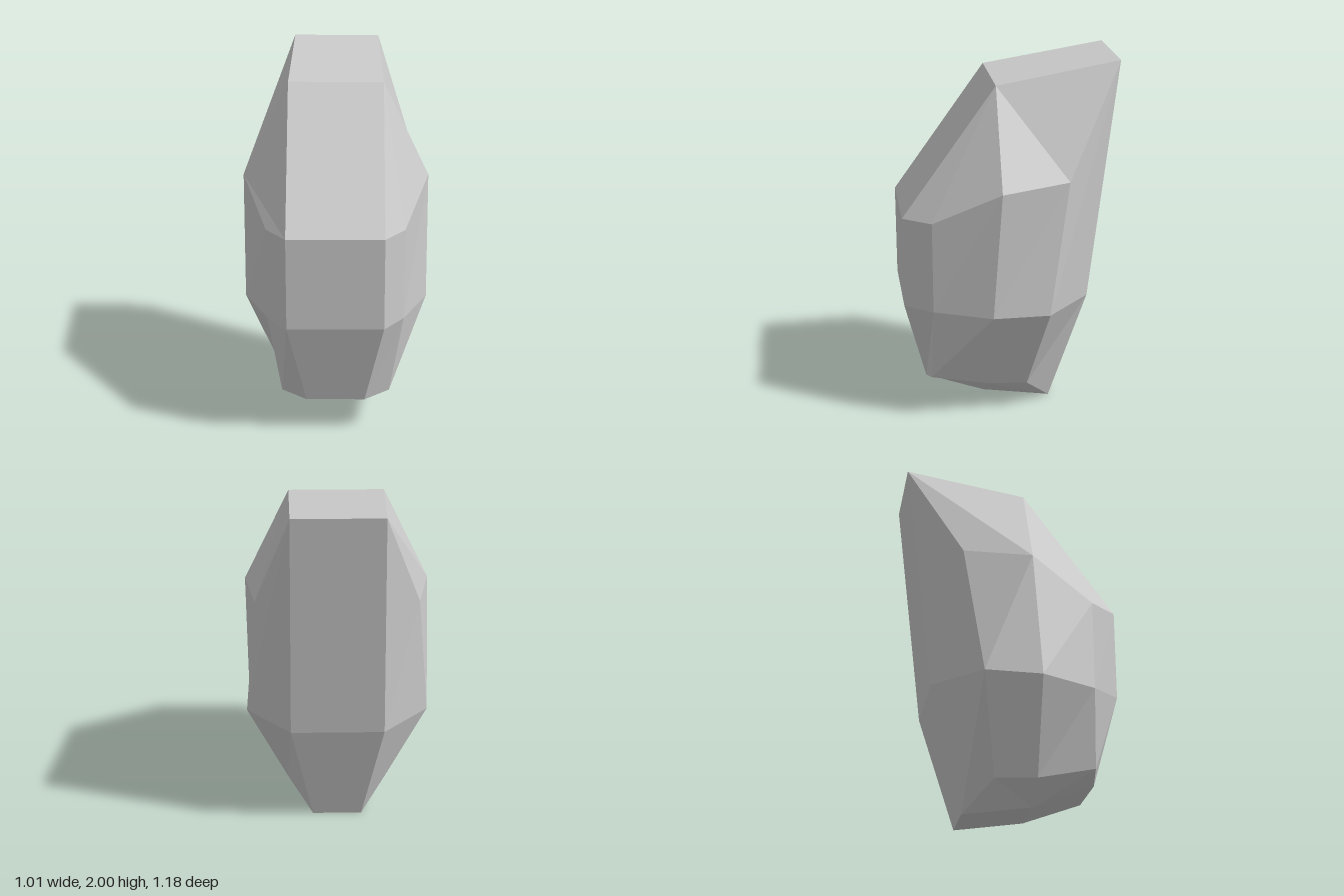
import * as THREE from 'three';

const v = (x, y, z) => new THREE.Vector3(x, y, z);

export function createModel() {
  // half cross-sections (+x side), each running from front to back
  const base = [v(0.16, 0.19, 0.47), v(0.295, 0.24, 0.45), v(0.287, 0.175, 0.14), v(0.285, 0.16, -0.09), v(0.14, 0, -0.24)];
  const waist = [v(0.26, 0.67, 0.59), v(0.37, 0.67, 0.44), v(0.507, 0.67, 0.13), v(0.507, 0.67, -0.18), v(0.257, 0.67, -0.43)];
  const shoulder = [v(0.26, 1.18, 0.59), v(0.37, 1.18, 0.44), v(0.507, 1.37, 0.08), v(0.44, 1.4, -0.29), v(0.24, 2, -0.59)];
  const crown = v(0.257, 1.89, 0.08);
  const keel = v(0.14, 0.06, 0.14);

  const positions = [];
  const quad = (a, b, c, d) => {
    for (const p of [a, b, c, a, c, d]) positions.push(p.x, p.y, p.z);
  };
  const flip = (p) => v(-p.x, p.y, p.z);
  const mirroredQuad = (a, b, c, d) => {
    quad(a, b, c, d);
    quad(flip(d), flip(c), flip(b), flip(a));
  };

  // side facets between the sections
  for (const [low, high] of [[base, waist], [waist, shoulder]]) {
    for (let i = 0; i < 4; i++) mirroredQuad(low[i], low[i + 1], high[i + 1], high[i]);
  }

  // slanted facets at the top and the bottom
  mirroredQuad(crown, shoulder[0], shoulder[1], shoulder[2]);
  mirroredQuad(crown, shoulder[2], shoulder[3], shoulder[4]);
  mirroredQuad(base[2], base[1], base[0], keel);
  mirroredQuad(base[4], base[3], base[2], keel);

  // central band: up the front, over the top, down the back and underneath
  const band = [waist[0], shoulder[0], crown, shoulder[4], waist[4], base[4], keel, base[0]];
  band.forEach((p, i) => {
    const q = band[(i + 1) % band.length];
    quad(flip(p), p, q, flip(q));
  });

  const geometry = new THREE.BufferGeometry();
  geometry.setAttribute('position', new THREE.Float32BufferAttribute(positions, 3));
  geometry.computeVertexNormals();

  const body = new THREE.Mesh(geometry, new THREE.MeshStandardMaterial({ color: 0xcccccc, flatShading: true }));
  body.name = 'facetedBody';
  const group = new THREE.Group();
  group.name = 'facetedBlock';
  group.add(body);
  return group;
}
